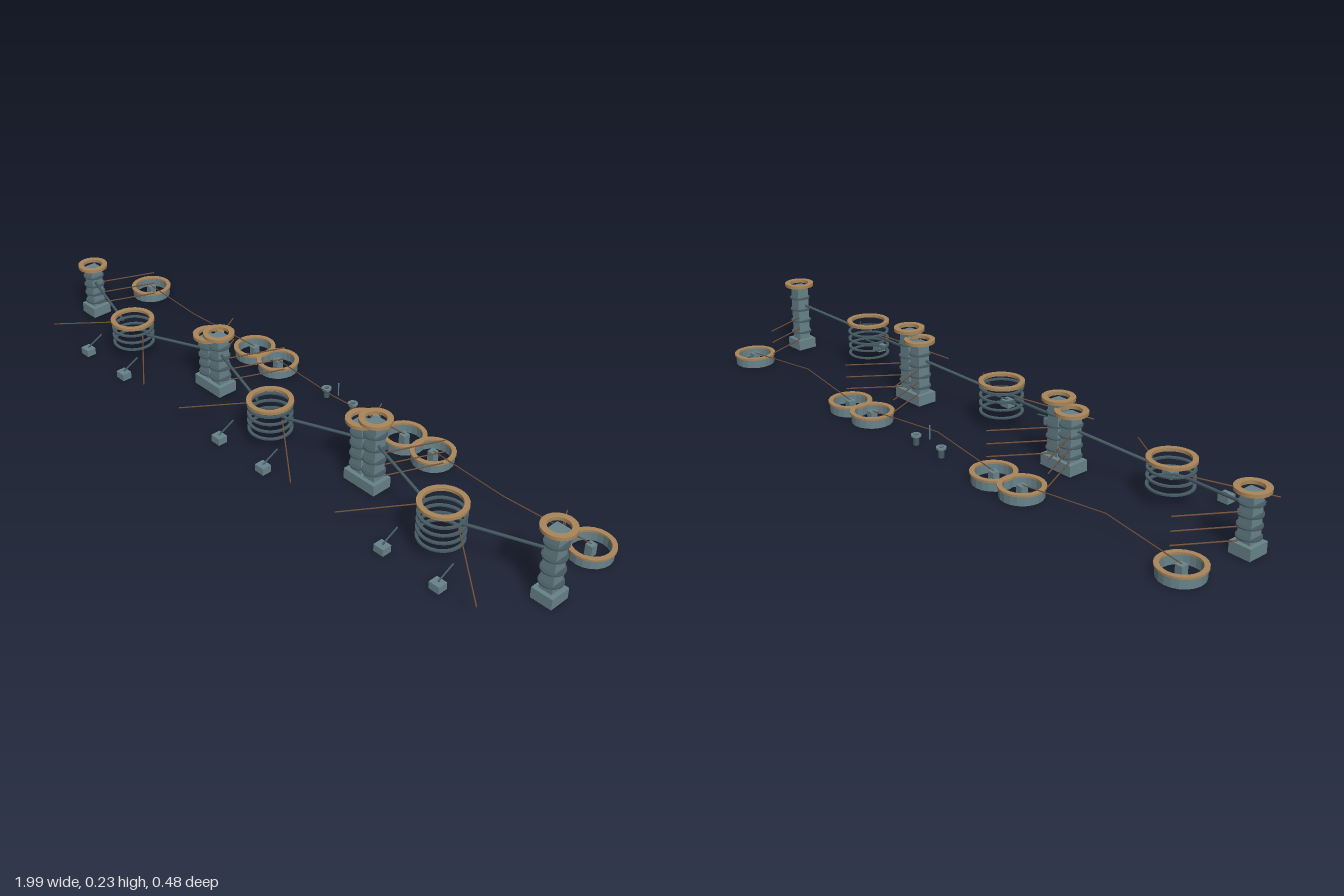
import * as THREE from 'three';
import { toCreasedNormals } from 'three/addons/utils/BufferGeometryUtils.js';

const mat = (name, color) => {
  const m = new THREE.MeshStandardMaterial({ color });
  m.name = name;
  return m;
};

export function createModel() {
  const model = new THREE.Group();
  const steel = mat('slate steel', 0x68838a);
  const dark = mat('dark steel', 0x465a62);
  const brass = mat('brass', 0xa9865a);
  const cord = mat('brown cord', 0x704f38);

  const add = (parent, name, geo, m, x, y, z) => {
    const mesh = new THREE.Mesh(geo, m);
    mesh.name = name;
    mesh.position.set(x, y, z);
    parent.add(mesh);
    return mesh;
  };
  // flat-section ring whose bottom lies at the given y
  const ring = (parent, name, inner, outer, h, m, x, y, z, sides = 24) => {
    const profile = [[inner, 0], [outer, 0], [outer, h], [inner, h], [inner, 0]]
      .map(([r, v]) => new THREE.Vector2(r, v));
    const geo = toCreasedNormals(new THREE.LatheGeometry(profile, sides), 0.3);
    return add(parent, name, geo, m, x, y, z);
  };
  // straight round bar between two points
  const bar = (parent, name, a, b, r, m) => {
    const p = new THREE.Vector3(...a), q = new THREE.Vector3(...b);
    const d = q.clone().sub(p);
    const mesh = add(parent, name, new THREE.CylinderGeometry(r, r, d.length(), 8), m,
      ...p.clone().add(q).multiplyScalar(0.5).toArray());
    mesh.quaternion.setFromUnitVectors(new THREE.Vector3(0, 1, 0), d.normalize());
    return mesh;
  };
  const box = (parent, name, w, h, d, m, x, y, z) =>
    add(parent, name, new THREE.BoxGeometry(w, h, d), m, x, y + h / 2, z);

  const towerZ = 0.033, coilZ = 0.097, wheelZ = -0.173;

  for (let i = 0; i < 3; i++) {
    const bay = new THREE.Group();
    bay.name = 'bay' + (i + 1);
    bay.position.x = (i - 1) * 0.65;
    model.add(bay);

    const shaft = 0.15 + i * 0.025;
    const coilTop = 0.118 + i * 0.0155;
    const hubY = 0.09 + i * 0.015;

    // stack of open rings with a brass rim
    ring(bay, 'coilRim', 0.053, 0.068, 0.009, brass, 0, coilTop, coilZ, 32);
    const rings = i === 0 ? 3 : 4;
    for (let k = 0; k < rings; k++) {
      ring(bay, 'coilRing', 0.057, 0.066, 0.0045, dark, 0, 0.046 + k * 0.0245, coilZ, 32);
    }

    for (const s of [-1, 1]) {
      // tower
      const tower = new THREE.Group();
      tower.name = 'tower';
      tower.position.set(s * 0.3, 0, towerZ);
      bay.add(tower);
      box(tower, 'towerBase', 0.065, 0.033, 0.065, steel, 0, 0, 0);
      box(tower, 'towerShaft', 0.04, shaft, 0.04, steel, 0, 0.017, 0);
      for (let k = 1; k < 5; k++) {
        ring(tower, 'towerCollar', 0.018, 0.033, 0.004, dark, 0, 0.015 + shaft * k * 0.2, 0);
      }
      ring(tower, 'towerCrown', 0.03, 0.047, 0.01, brass, 0, shaft + 0.018, 0);

      // beam from tower to coil, and front stay
      bar(bay, 'beam', [s * 0.28, hubY + 0.03, 0.041], [s * 0.064, hubY, 0.09], 0.0045, dark);
      bar(bay, 'frontStay', [s * 0.06, hubY, 0.105], [s * 0.24, 0.057, 0.238], 0.002, cord);

      // front block with its strut
      box(bay, 'frontBlock', 0.034, 0.022, 0.03, steel, s * 0.095, 0, 0.209);
      bar(bay, 'frontStrut', [s * 0.095, 0.022, 0.209], [s * 0.095, 0.049, 0.155], 0.0025, dark);

      // rear drum
      const drum = new THREE.Group();
      drum.name = 'rearDrum';
      drum.position.set(s * 0.27, 0, wheelZ);
      bay.add(drum);
      ring(drum, 'drumWall', 0.053, 0.062, 0.028, steel, 0, 0.003, 0, 20);
      ring(drum, 'drumRim', 0.052, 0.066, 0.006, brass, 0, 0.03, 0);
      box(drum, 'drumHub', 0.022, 0.034, 0.022, steel, 0, 0, 0);

      // three cords from tower towards the drum, and the long rear cord
      for (const y of [0.034, 0.072, 0.111]) {
        bar(bay, 'towerCord', [s * 0.285, y, 0.014], [s * 0.205, y + 0.009, -0.142], 0.002, cord);
      }
      bar(bay, 'rearCord', [s * 0.27, 0.034, wheelZ], [0, 0.048, -0.144], 0.0016, cord);

      // small bollards behind the middle bay
      if (i === 1) {
        add(bay, 'bollardStem', new THREE.CylinderGeometry(0.009, 0.009, 0.028, 12), dark,
          s * 0.056, 0.014, wheelZ - 0.005);
        ring(bay, 'bollardRim', 0.008, 0.015, 0.006, steel, s * 0.056, 0.026, wheelZ - 0.005, 16);
      }
    }
    if (i === 1) {
      bar(bay, 'pointer', [0, 0.034, wheelZ], [0, 0.077, wheelZ], 0.002, steel);
    }
  }
  return model;
}
